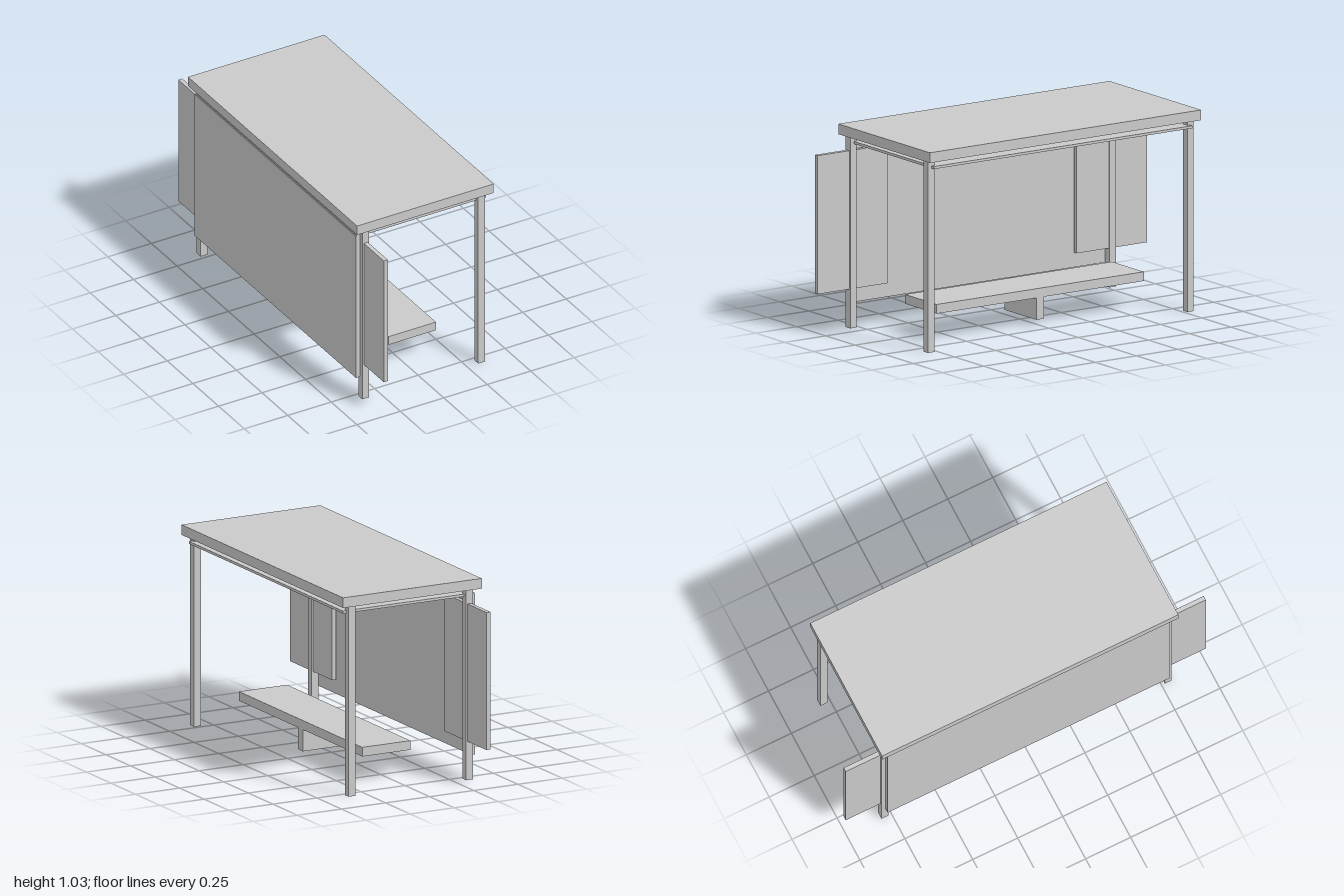
import * as THREE from 'three';

export function createModel() {
  const model = new THREE.Group();
  model.name = 'desk';

  const grey = new THREE.MeshStandardMaterial({ color: 0xcacaca, side: THREE.DoubleSide });
  grey.name = 'plain grey';

  // Box given by its limits on each axis; openBottom leaves out the lower face
  function box(name, [x0, x1], [y0, y1], [z0, z1], openBottom = false) {
    const geometry = new THREE.BoxGeometry(x1 - x0, y1 - y0, z1 - z0);
    if (openBottom) {
      const index = Array.from(geometry.index.array);
      index.splice(18, 6);
      geometry.setIndex(index);
      geometry.clearGroups();
    }
    const mesh = new THREE.Mesh(geometry, grey);
    mesh.name = name;
    mesh.position.set((x0 + x1) / 2, (y0 + y1) / 2, (z0 + z1) / 2);
    model.add(mesh);
  }

  // Range on one side of zero, mirrored for the negative side
  const side = (s, a, b) => (s > 0 ? [a, b] : [-b, -a]);

  box('tableTop', [-0.394, 0.392], [0.975, 1.027], [-0.823, 0.823]);

  // Thin board below the top, with the legs passing through it
  box('underBoard', [-0.374, 0.371], [0.935, 0.948], [-0.784, 0.784]);

  for (const s of [1, -1]) {
    const end = s > 0 ? 'front' : 'back';

    // Hollow legs
    box(end + 'LeftLeg', [0.313, 0.352], [0, 0.975], side(s, 0.768, 0.806), true);
    box(end + 'RightLeg', [-0.354, -0.315], [0, 0.975], side(s, 0.768, 0.806), true);

    // Side wings behind the long panel
    box(end + 'Wing', [-0.345, -0.322], [0.198, 0.902], side(s, 0.572, 1));
  }

  // Long panel closing the right side
  box('sidePanel', [-0.378, -0.355], [0.12, 0.941], [-0.784, 0.784]);

  // Foot rest: shallow tray turned over, on a hollow central support
  box('footRest', [-0.098, 0.175], [0.143, 0.19], [-0.628, 0.628], true);
  box('footRestSupport', [-0.098, 0.175], [0.032, 0.143], [-0.024, 0.024], true);

  return model;
}
